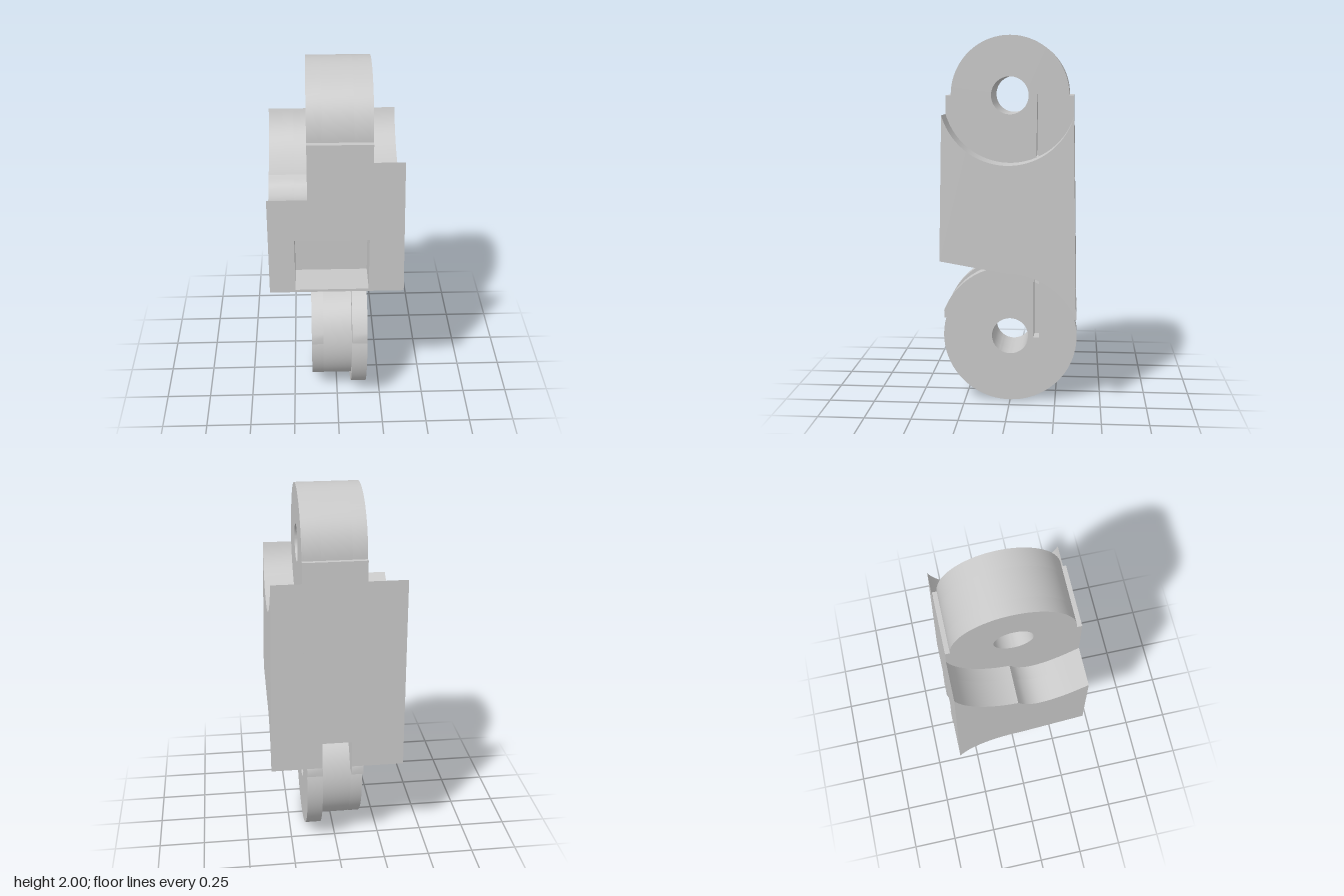
import * as THREE from 'three';
import { toCreasedNormals } from 'three/addons/utils/BufferGeometryUtils.js';

const TOP = 1.685, LOW = 0.367; // heights of the two pivots

// Gently tapering front and back walls
const frontZ = y => 0.36 - 0.02 * (y - 0.82);
const backZ = y => -0.362 + 0.0195 * (y - 0.51);
const front = y => [frontZ(y), y];
const back = y => [backZ(y), y];

// Points are [z, y]; angle 0 points to +z, 90 degrees points up
function arc(cy, r, a0, a1, n = 32) {
  return Array.from({ length: n + 1 }, (_, i) => {
    const a = a0 + (a1 - a0) * i / n;
    return [r * Math.cos(a), cy + r * Math.sin(a)];
  });
}

const vectors = pts => pts.map(([z, y]) => new THREE.Vector2(-z, y));
const STEP = Math.PI / 32;
const circle = (cy, r) => arc(cy, r, STEP / 2, Math.PI * 2 - STEP / 2, 63);

// Side profile extruded across x; holes are wound opposite to the outline
function slab(pts, x0, x1, holes = []) {
  const shape = new THREE.Shape(vectors(pts));
  holes.forEach(h => shape.holes.push(new THREE.Path(vectors(h).reverse())));
  const g = new THREE.ExtrudeGeometry(shape, { depth: x1 - x0, bevelEnabled: false });
  return g.rotateY(Math.PI / 2).translate(x0, 0, 0);
}

// Upper edges, listed from front to back
function topEdge(kind) {
  if (kind === 'tongue') {
    return [front(TOP), ...arc(TOP, 0.315, 0, Math.PI, 48), back(TOP)];
  }
  if (kind === 'left') {
    const dip = new THREE.SplineCurve([front(1.38), [0.25, 1.31], [0.16, 1.267], [0.08, 1.255], [0.02, 1.28], [-0.02, 1.33]]
      .map(p => new THREE.Vector2(...p)));
    return [...dip.getPoints(24).map(p => [p.x, p.y]), ...arc(TOP, 0.358, Math.PI * 1.48, Math.PI + 0.309, 20)];
  }
  return arc(TOP, 0.358, -0.28, -Math.PI + 0.309, 40);
}

function bodyProfile(kind, windowed, channel) {
  const pts = [front(0.82)];
  if (windowed) pts.push(front(0.835), [0.17, 0.835], [0.17, 1.14], front(1.14));
  pts.push(...topEdge(kind));
  if (channel) pts.push(back(0.665), ...arc(LOW, 0.42, Math.PI - 0.789, 1.355));
  else pts.push(back(0.514), ...arc(LOW, 0.391, Math.PI - 0.388, Math.PI / 2));
  return pts;
}

// Disc with a thicker collar over its upper part
function collarProfile(r) {
  const a = Math.asin(0.098 / r), b = Math.acos(0.365 / 0.391);
  return [[0.365, 0.465], ...arc(LOW, 0.391, b, Math.PI - b, 40), [-0.365, 0.465],
    ...arc(LOW, r, Math.PI - a, Math.PI * 2 + a, 48)];
}

export function createModel() {
  const group = new THREE.Group();
  const grey = new THREE.MeshStandardMaterial({ color: 0xc8c8c8 });
  grey.name = 'plain grey';
  const add = (name, geometry) => {
    const mesh = new THREE.Mesh(toCreasedNormals(geometry, 0.45), grey);
    mesh.name = name;
    group.add(mesh);
  };

  // Left cheek, with the front corner cut low
  add('leftCheekOuter', slab(bodyProfile('left', false), -0.365, -0.228));
  add('leftCheekInner', slab(bodyProfile('left', true), -0.228, -0.157));

  // Central body with upper pivot, front pocket and rear channel
  const bore = circle(TOP, 0.1);
  const slit = [[-0.154, 1.36], [-0.142, 1.36], [-0.146, 1.693], [-0.15, 1.693]];
  add('upperPivotLeft', slab(bodyProfile('tongue', true), -0.157, -0.08, [bore]));
  add('upperPivotMiddle', slab(bodyProfile('tongue', true, true), -0.08, 0.08, [bore]));
  add('upperPivotRight', slab(bodyProfile('tongue', true), 0.08, 0.165, [bore, slit]));
  add('upperPivotFace', slab(bodyProfile('tongue', false), 0.165, 0.177, [bore, slit]));

  // Right cheek, its outer face leaning outward toward the bottom
  const cheek = slab(bodyProfile('right', false), 0.177, 0.337);
  const p = cheek.attributes.position;
  for (let i = 0; i < p.count; i++) {
    if (p.getX(i) > 0.3) p.setX(i, 0.337 + (1.585 - p.getY(i)) * 0.0215);
  }
  cheek.computeVertexNormals();
  add('rightCheek', cheek);

  // Lower pivot: two collared discs around a plain hub
  const lowBore = circle(LOW, 0.1);
  const lowSlit = [[-0.16, 0.36], [-0.13, 0.36], [-0.13, 0.715], [-0.16, 0.715]];
  add('lowerCollarLeft', slab(collarProfile(0.315), -0.145, -0.08, [lowBore]));
  add('lowerHub', slab(circle(LOW, 0.315), -0.08, 0.08, [lowBore]));
  add('lowerCollarRight', slab(collarProfile(0.367), 0.08, 0.165, [lowBore, lowSlit]));

  return group;
}
